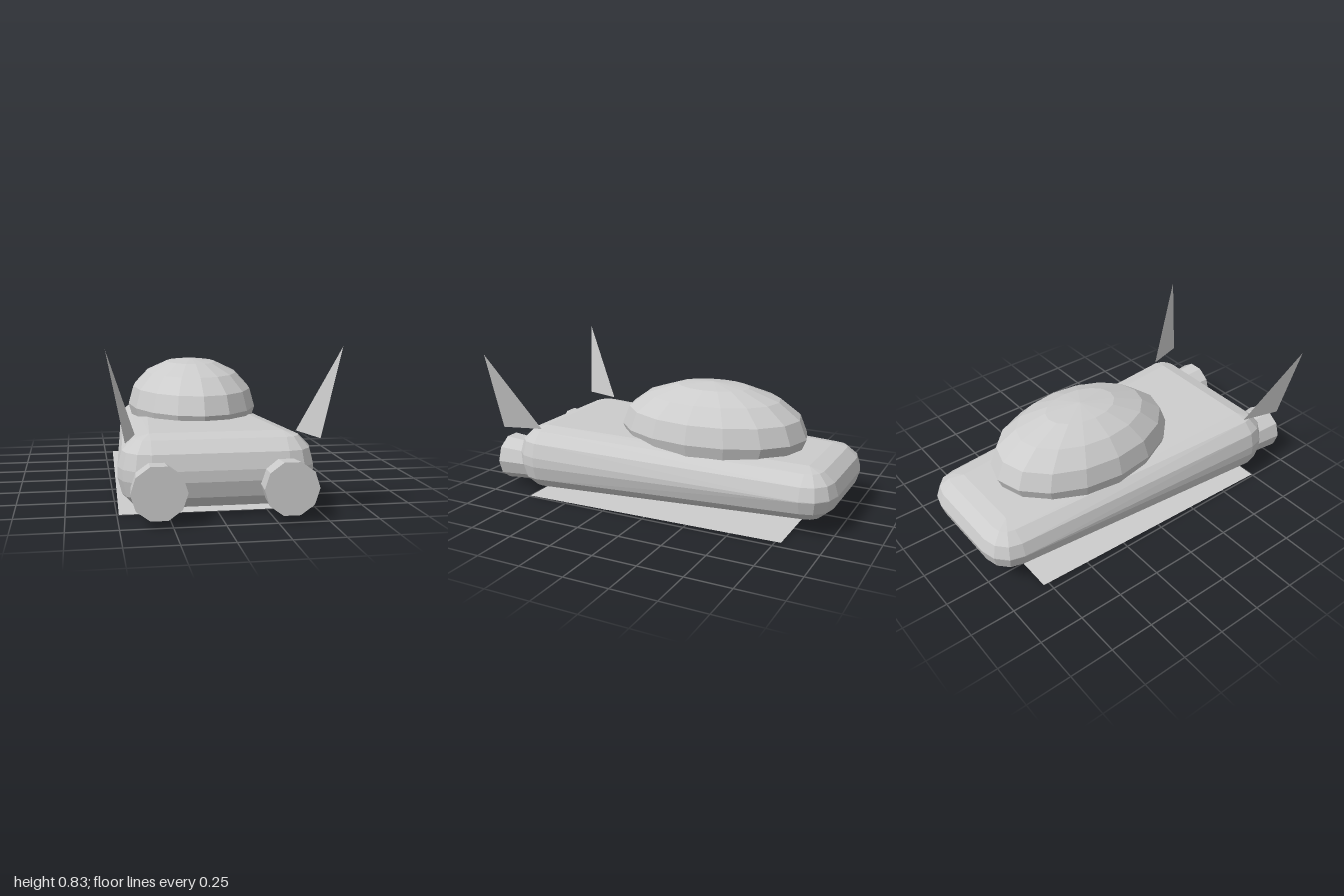
import * as THREE from 'three';
import { ConvexGeometry } from 'three/addons/geometries/ConvexGeometry.js';

const grey = new THREE.MeshStandardMaterial({ color: 0xcccccc, flatShading: true, side: THREE.DoubleSide });
grey.name = 'light grey';

// One eighth of an ellipsoid, pushed out towards the given corner.
function cornerPoints(sx, sy, sz, centre, radii, steps = 3) {
  const points = [];
  for (let i = 0; i <= steps; i++) {
    const lat = (i / steps) * Math.PI / 2;
    for (let j = 0; j <= (i === steps ? 0 : steps); j++) {
      const lon = (j / steps) * Math.PI / 2;
      points.push(new THREE.Vector3(
        sx * (centre[0] + radii[0] * Math.cos(lat) * Math.cos(lon)),
        0.208 + sy * (centre[1] + radii[1] * Math.sin(lat)),
        centre[2] + sz * radii[2] * Math.cos(lat) * Math.sin(lon)));
    }
  }
  return points;
}

// Flat face through a fan of points.
function flatFace(points) {
  const triangles = [];
  for (let i = 1; i < points.length - 1; i++) triangles.push(...points[0], ...points[i], ...points[i + 1]);
  const geometry = new THREE.BufferGeometry();
  geometry.setAttribute('position', new THREE.Float32BufferAttribute(triangles, 3));
  geometry.computeVertexNormals();
  return geometry;
}

export function createModel() {
  const model = new THREE.Group();
  model.name = 'hoverCar';
  const add = (name, geometry) => {
    const mesh = new THREE.Mesh(geometry, grey);
    mesh.name = name;
    model.add(mesh);
    return mesh;
  };

  // Rounded hull, wider and taller towards +z
  const hull = [];
  for (const sx of [-1, 1]) for (const sy of [-1, 1]) {
    hull.push(...cornerPoints(sx, sy, 1, [0.335, 0.028, 0.72], [0.157, 0.16, 0.16]));
    hull.push(...cornerPoints(sx, sy, -1, [0.22, 0.002, -0.84], [0.17, 0.14, 0.16]));
  }
  add('body', new ConvexGeometry(hull));

  // Faceted canopy, half sunk into the hull
  const canopy = add('canopy', new THREE.SphereGeometry(1, 16, 8));
  canopy.scale.set(0.375, 0.27, 0.555);
  canopy.position.set(0, 0.412, -0.195);

  // Flat plate on the ground
  add('groundPlate', flatFace([[-0.45, 0, -0.78], [-0.49, 0, 0.75], [0.49, 0, 0.75], [0.45, 0, -0.78]]));

  // Thrusters and fins in mirrored pairs
  for (const [side, s] of [['left', 1], ['right', -1]]) {
    const thruster = new THREE.CylinderGeometry(0.135, 0.112, 0.26, 10);
    thruster.rotateY(Math.PI / 2).rotateX(Math.PI / 2).translate(s * 0.315, 0.163, 0.87);
    add(side + 'Thruster', thruster);

    const fin = [[s * 0.405, 0.389, 0.71], [s * 0.553, 0.83, 0.97], [s * 0.466, 0.389, 0.93]];
    add(side + 'Fin', flatFace(s > 0 ? fin : fin.reverse()));
  }
  return model;
}
